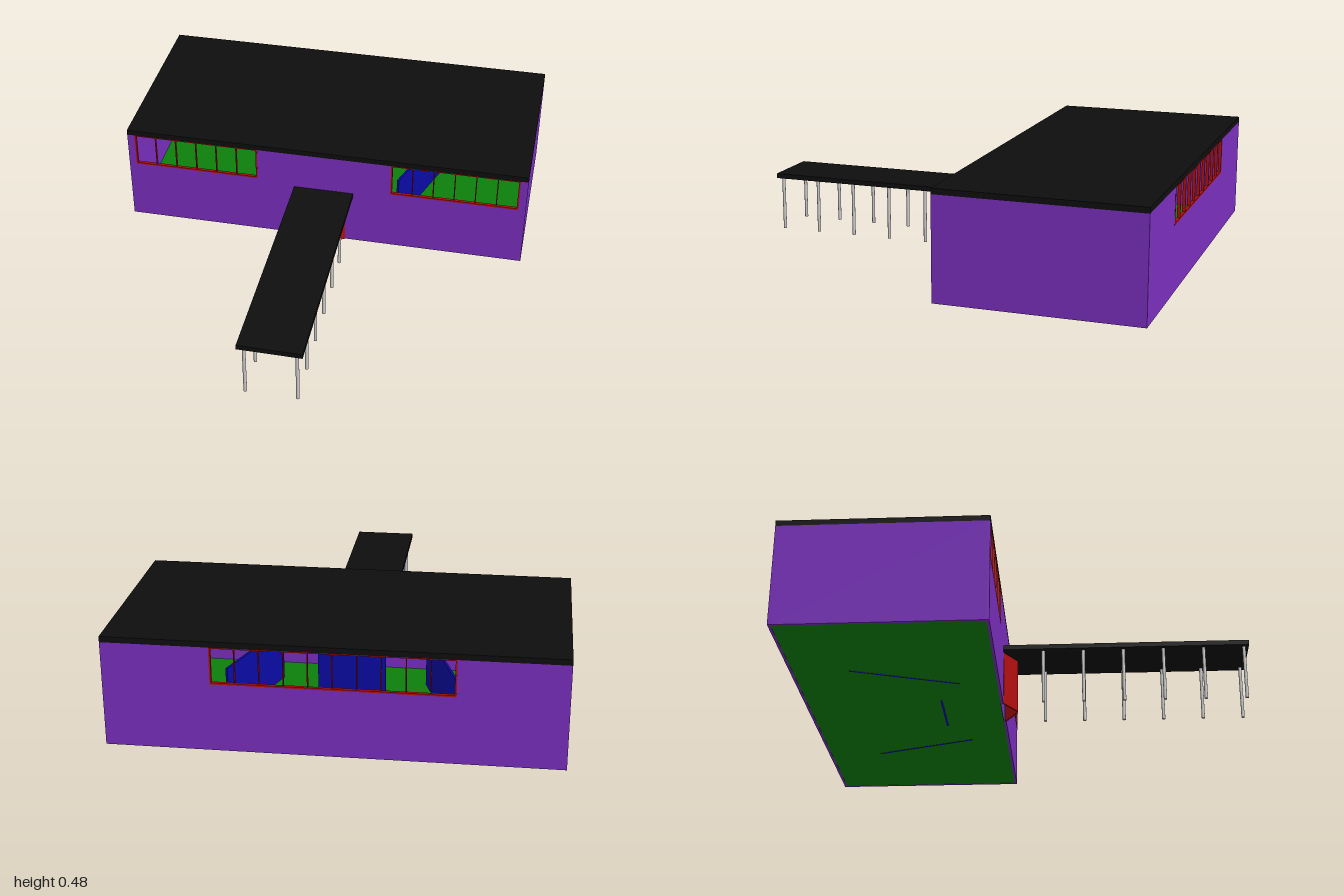
import * as THREE from 'three';

const mat = (color) => new THREE.MeshStandardMaterial({ color });

export function createModel() {
  const model = new THREE.Group();
  const purple = mat(0x7a2fbe), black = mat(0x0e0e0e), red = mat(0xb20e0e);
  const green = mat(0x0c800c), blue = mat(0x0a0aa5), grey = mat(0xcccccc);

  const W = 0.94, BACK = -1, FRONT = -0.11, WALL = 0.455, T = 0.012;
  const SILL = 0.295, DOOR = 0.105, DOOR_H = 0.25;
  const midZ = (BACK + FRONT) / 2, depth = FRONT - BACK;

  function add(name, geometry, material, x = 0, y = 0, z = 0, parent = model) {
    const mesh = new THREE.Mesh(geometry, material);
    mesh.name = name;
    mesh.position.set(x, y, z);
    parent.add(mesh);
    return mesh;
  }
  // box given by its minimum and maximum corners
  function block(name, [x0, y0, z0], [x1, y1, z1], material, parent) {
    return add(name, new THREE.BoxGeometry(x1 - x0, y1 - y0, z1 - z0), material,
      (x0 + x1) / 2, (y0 + y1) / 2, (z0 + z1) / 2, parent);
  }
  // upright panel between two plan points
  function panel(name, [x0, z0], [x1, z1], y0, y1, thick, material) {
    const dx = x1 - x0, dz = z1 - z0;
    const mesh = add(name, new THREE.BoxGeometry(Math.hypot(dx, dz), y1 - y0, thick), material,
      (x0 + x1) / 2, (y0 + y1) / 2, (z0 + z1) / 2);
    mesh.rotation.y = -Math.atan2(dz, dx);
  }
  // wall extruded from its elevation outline
  function outlineWall(name, points, z) {
    const shape = new THREE.Shape(points.map(([x, y]) => new THREE.Vector2(x, y)));
    add(name, new THREE.ExtrudeGeometry(shape, { depth: T, bevelEnabled: false }), purple, 0, 0, z);
  }

  // front wall: door opening below, window notches reaching up to the roof
  const half = [[DOOR, DOOR_H], [DOOR, 0], [W, 0], [W, WALL], [0.905, WALL],
    [0.905, SILL], [0.315, SILL], [0.315, WALL]];
  const mirrored = half.map(([x, y]) => [-x, y]).reverse();
  outlineWall('frontWall', [...half, ...mirrored], FRONT - T);

  // back wall with one long window notch
  outlineWall('backWall', [[-W, 0], [W, 0], [W, WALL], [0.495, WALL], [0.495, SILL],
    [-0.495, SILL], [-0.495, WALL], [-W, WALL]], BACK);

  // side walls, floor and roof
  for (const s of [-1, 1]) {
    add('sideWall', new THREE.BoxGeometry(T, WALL, depth - 2 * T), purple, s * (W - T / 2), WALL / 2, midZ);
  }
  block('floor', [-W + T, 0.001, BACK + T], [W - T, 0.01, FRONT - T], green);
  block('roof', [-W, WALL, BACK], [W, 0.48, FRONT], black);

  // window frames: outer border plus evenly spaced mullions
  function windowFrame(name, x0, x1, z, panes) {
    const group = new THREE.Group();
    group.name = name;
    model.add(group);
    const b = 0.007, d = T / 2 + 0.001;
    block('sill', [x0, SILL, z - d], [x1, SILL + b, z + d], red, group);
    block('head', [x0, WALL - 0.004, z - d], [x1, WALL, z + d], red, group);
    for (let i = 0; i <= panes; i++) {
      const w = i === 0 || i === panes ? b : 0.004;
      const x = THREE.MathUtils.lerp(x0 + b / 2, x1 - b / 2, i / panes);
      block('mullion', [x - w / 2, SILL + b, z - d], [x + w / 2, WALL - 0.004, z + d], red, group);
    }
  }
  windowFrame('frontWindowLeft', 0.315, 0.905, FRONT - T / 2, 6);
  windowFrame('frontWindowRight', -0.905, -0.315, FRONT - T / 2, 6);
  windowFrame('backWindow', -0.495, 0.495, BACK + T / 2, 10);

  // double doors standing ajar, interior angled partitions
  for (const s of [-1, 1]) {
    panel('door', [s * 0.104, -0.112], [s * 0.009, -0.054], 0, DOOR_H, 0.008, red);
    panel('angledPartition', [s * 0.325, -0.285], [s * 0.482, -0.745], 0, 0.25, 0.01, blue);
  }
  panel('entrancePartition', [-0.15, -0.385], [0.15, -0.385], 0, 0.25, 0.01, blue);

  // covered walkway on two rows of posts
  block('canopy', [-0.14, DOOR_H, FRONT], [0.14, 0.272, 1], black);
  const post = new THREE.CylinderGeometry(0.0075, 0.0075, DOOR_H, 16);
  for (let i = 0; i < 6; i++) {
    for (const s of [-1, 1]) add('post', post, grey, s * 0.113, DOOR_H / 2, 0.978 - i * 0.1815);
  }
  return model;
}
